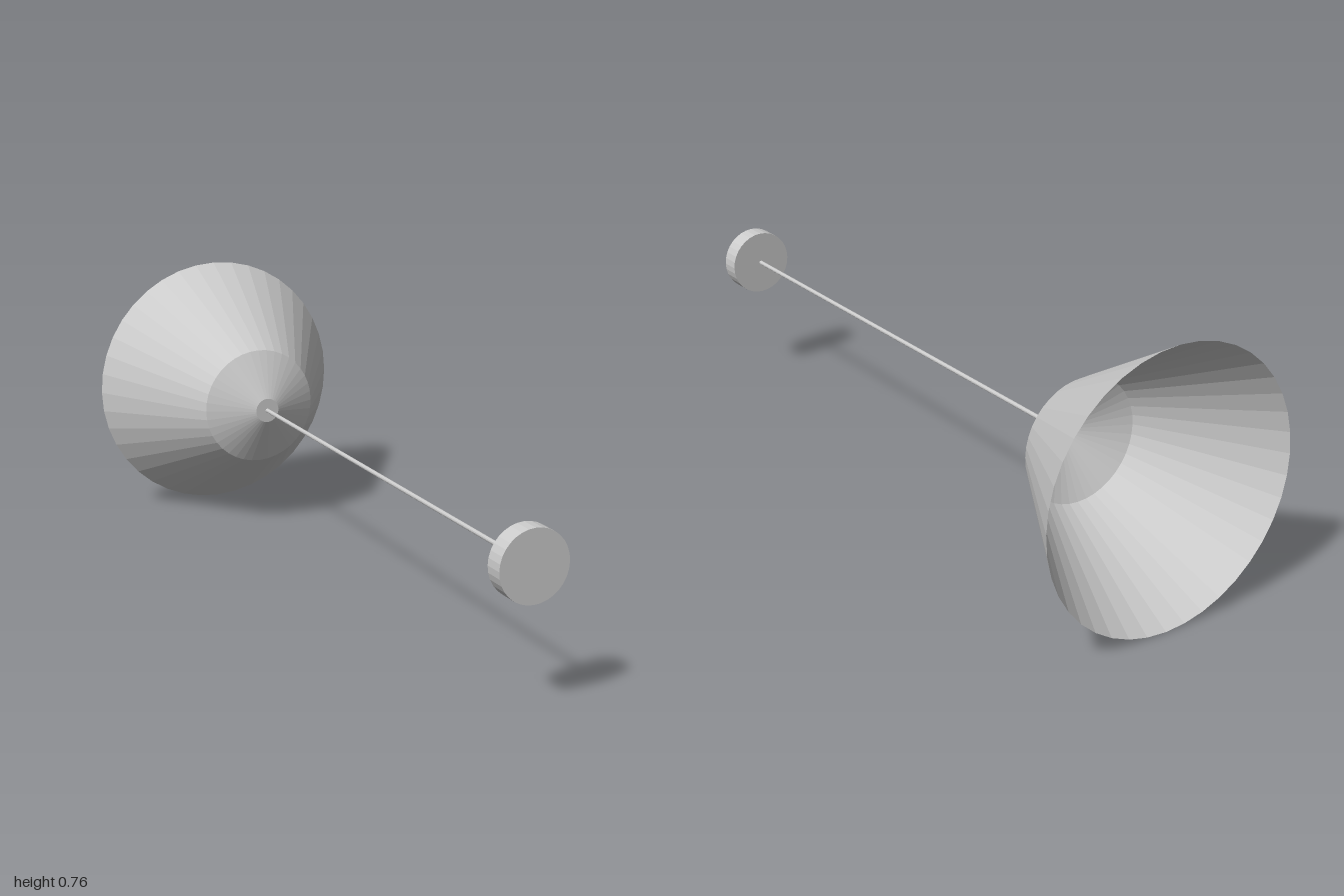
import * as THREE from 'three';

// A pendant lamp lying along z: ceiling disc in front, open shade at the back
export function createModel() {
  const model = new THREE.Group();
  const material = new THREE.MeshStandardMaterial({ color: 0xcccccc, flatShading: true });
  const shadeMaterial = material.clone();
  shadeMaterial.side = THREE.DoubleSide;
  const axisHeight = 0.381;

  // Turns a geometry made around y so that its axis runs along z
  const addPart = (name, geometry, mat, z = 0) => {
    const mesh = new THREE.Mesh(geometry.rotateX(Math.PI / 2), mat);
    mesh.name = name;
    mesh.position.set(0, axisHeight, z);
    model.add(mesh);
  };

  const rod = (radius, back, front, sides) =>
    new THREE.CylinderGeometry(radius, radius, front - back, sides)
      .translate(0, (back + front) / 2, 0);

  // Thin shade: flat top, shallow shoulder, wide open cone
  const profile = [[0.381, -1], [0.172, -0.645], [0.036, -0.58], [0, -0.58]]
    .map(([r, y]) => new THREE.Vector2(r, y));
  addPart('shade', new THREE.LatheGeometry(profile, 40), shadeMaterial);

  // Hanging cord
  addPart('cord', rod(0.006, -0.582, 0.946, 12), material);

  // Ceiling mount
  addPart('ceilingMount', rod(0.095, 0.945, 1, 32), material);

  return model;
}
